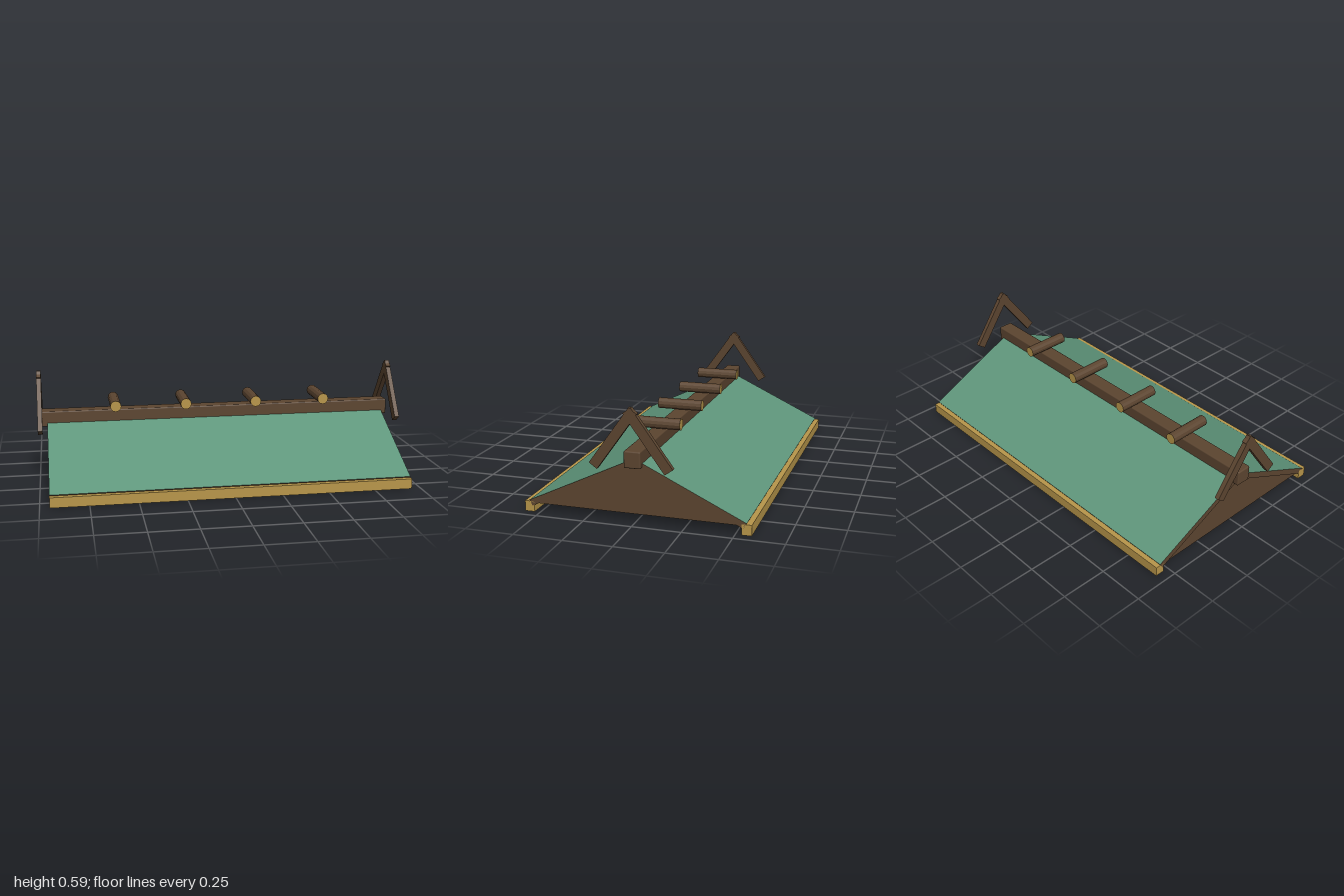
import * as THREE from 'three';
import { RoundedBoxGeometry } from 'three/addons/geometries/RoundedBoxGeometry.js';

const flat = (name, color) => {
  const m = new THREE.MeshStandardMaterial({ color });
  m.name = name;
  return m;
};

export function createModel() {
  const wood = flat('dark wood', 0x5c4530);
  const cutWood = flat('pale wood', 0xb8964a);
  const green = flat('green roofing', 0x5f967b);

  const root = new THREE.Group();
  root.name = 'gableRoof';
  const add = (name, geometry, material, x, y, z, rotX = 0) => {
    const mesh = new THREE.Mesh(geometry, material);
    mesh.name = name;
    mesh.position.set(x, y, z);
    mesh.rotation.x = rotX;
    root.add(mesh);
    return mesh;
  };

  // Roof slopes: wooden slabs with a green upper face, and eave beams
  const halfLength = 0.95;
  const run = 0.555, ridgeY = 0.326, eaveY = 0.06, thick = 0.033;
  const pitch = Math.atan2(ridgeY - eaveY, run);
  const slabGeo = new THREE.BoxGeometry(halfLength * 2, thick, Math.hypot(run, ridgeY - eaveY));
  const slabMaterials = [wood, wood, green, wood, wood, wood];
  const eaveGeo = new THREE.BoxGeometry(halfLength * 2, 0.054, 0.05);
  for (const s of [1, -1]) {
    const side = s > 0 ? 'front' : 'back';
    add(side + 'RoofSlope', slabGeo, slabMaterials, 0,
      (ridgeY + eaveY) / 2 - Math.cos(pitch) * thick / 2,
      s * (run / 2 - Math.sin(pitch) * thick / 2), s * pitch);
    add(side + 'EaveBeam', eaveGeo, cutWood, 0, 0.027, s * 0.555);
  }

  // Triangular gable walls, just inside the slab ends
  const triangle = new THREE.Shape([
    new THREE.Vector2(-0.51, 0.045),
    new THREE.Vector2(0.51, 0.045),
    new THREE.Vector2(0, 0.292),
  ]);
  const gableGeo = new THREE.ExtrudeGeometry(triangle, { depth: 0.02, bevelEnabled: false });
  gableGeo.translate(0, 0, -0.01).rotateY(Math.PI / 2);

  // Crossed planks at both ends of the ridge
  const plankTilt = 0.623;
  const plankGeo = new THREE.BoxGeometry(0.025, 0.351, 0.05);
  for (const e of [1, -1]) {
    const end = e > 0 ? 'left' : 'right';
    add(end + 'Gable', gableGeo, wood, e * 0.935, 0, 0);
    for (const s of [1, -1]) {
      add(end + (s > 0 ? 'Front' : 'Back') + 'CrossedPlank', plankGeo, wood,
        e * 0.9875, 0.4325, s * 0.0875, -s * plankTilt);
    }
  }

  // Ridge beam with softened edges
  add('ridgeBeam', new RoundedBoxGeometry(1.96, 0.085, 0.084, 2, 0.007), wood, 0, 0.3275, 0);

  // Short logs across the ridge, with pale cut ends
  const logGeo = new THREE.CylinderGeometry(0.03, 0.03, 0.244, 12).toNonIndexed();
  logGeo.computeVertexNormals();
  for (const x of [-0.58, -0.195, 0.195, 0.58]) {
    add('ridgeLog', logGeo, [wood, cutWood, cutWood], x, 0.403, 0, Math.PI / 2);
  }

  return root;
}
